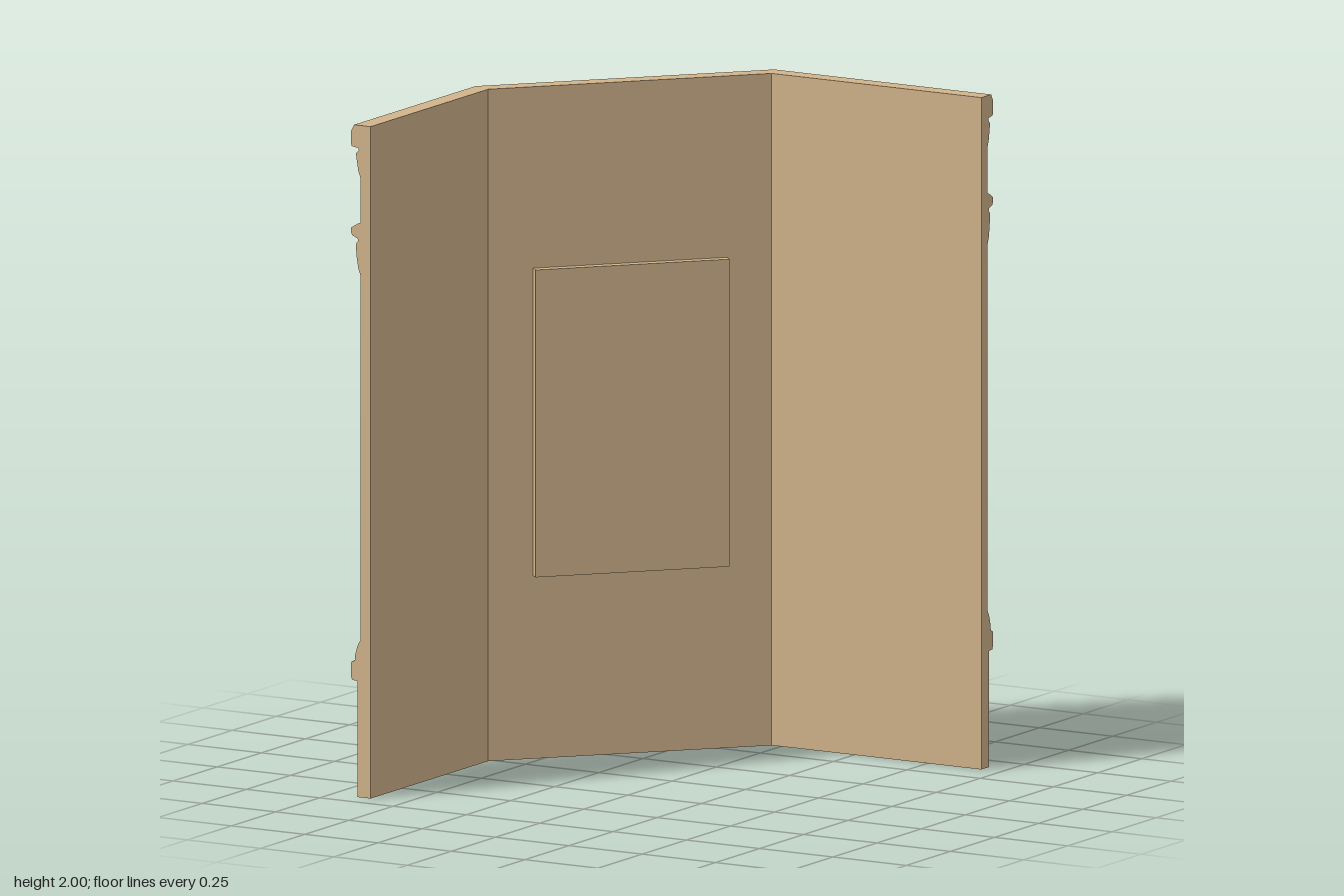
import * as THREE from 'three';

const wallMat = new THREE.MeshStandardMaterial({ color: 0xd2b48c });
const sashMat = new THREE.MeshStandardMaterial({ color: 0xd6cebc });
const glassMat = new THREE.MeshStandardMaterial({ color: 0x0a0c0c });

// inner face of the wall in plan (x, z)
const V = (x, z) => new THREE.Vector2(x, z);
const PLAN = [V(-0.617, 0.683), V(-0.617, 0.017), V(-0.032, -0.617), V(0.683, -0.617)];
const WIN = { w: 0.59, h: 0.915, y: 1.0025, sideBorder: 0.045, railBorder: 0.075 };

// faceted surface through closed rows of points
function skin(rows, tris = []) {
  const pos = [];
  const put = (...pts) => pts.forEach((p) => pos.push(p.x, p.y, p.z));
  for (let i = 0; i + 1 < rows.length; i++) {
    const a = rows[i], b = rows[i + 1], n = a.length;
    for (let j = 0; j < n; j++) {
      const k = (j + 1) % n;
      put(a[j], a[k], b[k], a[j], b[k], b[j]);
    }
  }
  const first = rows[0], last = rows[rows.length - 1];
  for (const [a, b, c] of tris) put(first[a], first[c], first[b], last[a], last[b], last[c]);
  const g = new THREE.BufferGeometry();
  g.setAttribute('position', new THREE.Float32BufferAttribute(pos, 3));
  g.computeVertexNormals();
  return g;
}

const outward = (a, b) => V(b.y - a.y, a.x - b.x).normalize();

// sweeps a closed profile of [offset, height] along a plan path with mitred corners
function sweep(profile, path) {
  const rows = path.map((p, i) => {
    const n1 = outward(path[Math.max(i - 1, 0)], path[Math.max(i, 1)]);
    const e = Math.min(i, path.length - 2);
    const n2 = outward(path[e], path[e + 1]);
    const m = n1.clone().add(n2).divideScalar(1 + n1.dot(n2));
    return profile.map(([o, y]) => new THREE.Vector3(p.x + m.x * o, y, p.y + m.y * o));
  });
  const tris = THREE.ShapeUtils.triangulateShape(profile.map(([o, y]) => V(o, y)), []);
  return skin(rows, tris);
}

function add(parent, name, geo, mat = wallMat) {
  const m = new THREE.Mesh(geo, mat);
  m.name = name;
  parent.add(m);
  return m;
}

function box(parent, name, w, h, d, x, y, z, mat) {
  add(parent, name, new THREE.BoxGeometry(w, h, d), mat).position.set(x, y, z);
}

function createWindow() {
  const g = new THREE.Group();
  g.name = 'window';
  const { w, h, sideBorder, railBorder } = WIN;
  const ow = w - 2 * sideBorder, oh = h - 2 * railBorder;

  // backing panel that stands proud on the inside
  box(g, 'backingPanel', w, h, 0.031, 0, 0, -0.0135, wallMat);

  // moulded casing: [inset fraction, depth] steps from outside to opening
  const steps = [[0, 0], [0, 0.052], [0.12, 0.06], [0.4, 0.06], [0.5, 0.052], [1, 0.042], [1, 0]];
  add(g, 'casing', skin(steps.map(([t, z]) => {
    const x = w / 2 - t * sideBorder, y = h / 2 - t * railBorder;
    return [[x, -y], [x, y], [-x, y], [-x, -y]].map(([px, py]) => new THREE.Vector3(px, py, z));
  })));

  box(g, 'glass', ow, oh, 0.004, 0, 0, 0.004, glassMat);

  // sash: stiles, mullion, rails and glazing bars
  for (const s of [-1, 1]) {
    box(g, 'stile', 0.03, oh, 0.026, s * (ow / 2 - 0.015), 0, 0.015, sashMat);
    box(g, 'endRail', ow, 0.036, 0.026, 0, s * (oh / 2 - 0.018), 0.015, sashMat);
    box(g, 'glazingBar', ow, 0.028, 0.016, 0, s * 0.195, 0.012, sashMat);
  }
  box(g, 'middleRail', ow, 0.055, 0.022, 0, 0, 0.014, sashMat);
  box(g, 'mullion', 0.055, oh, 0.028, 0, 0, 0.018, sashMat);
  box(g, 'mullionBead', 0.026, oh, 0.008, 0, 0, 0.034, sashMat);
  return g;
}

export function createModel() {
  const model = new THREE.Group();
  model.name = 'baySection';
  const [p0, p1, p2, p3] = PLAN;
  const centre = p1.clone().lerp(p2, 0.5);
  const dir = p2.clone().sub(p1).normalize();
  const w0 = centre.clone().addScaledVector(dir, -WIN.w / 2);
  const w1 = centre.clone().addScaledVector(dir, WIN.w / 2);
  const sill = WIN.y - WIN.h / 2, head = WIN.y + WIN.h / 2;

  // wall below the window with the dado moulding
  add(model, 'lowerWall', sweep([
    [0, 0], [0.035, 0], [0.035, 0.345], [0.062, 0.347], [0.067, 0.358], [0.067, 0.395], [0.064, 0.402],
    [0.054, 0.404], [0.053, 0.42], [0.046, 0.446], [0.038, 0.463], [0.035, 0.466], [0.035, sill], [0, sill],
  ], PLAN));

  // wall on both sides of the window
  const middle = [[0, sill], [0.035, sill], [0.035, head], [0, head]];
  add(model, 'middleWallRight', sweep(middle, [p0, p1, w0]));
  add(model, 'middleWallBack', sweep(middle, [w1, p2, p3]));

  // wall above the window with the frieze band and cornice
  add(model, 'upperWall', sweep([
    [0, head], [0.035, head], [0.035, 1.555], [0.042, 1.575], [0.047, 1.605], [0.05, 1.64], [0.048, 1.65],
    [0.042, 1.655], [0.044, 1.663], [0.062, 1.67], [0.067, 1.68], [0.066, 1.693], [0.045, 1.706], [0.035, 1.71],
    [0.035, 1.845], [0.042, 1.865], [0.046, 1.89], [0.05, 1.915], [0.04, 1.925], [0.042, 1.932],
    [0.064, 1.936], [0.066, 1.942], [0.066, 1.982], [0.056, 2], [0, 2],
  ], PLAN));

  // plinth in three lengths, with a narrow joint on each side wall
  const plinth = [[0.03, 0], [0.045, 0], [0.045, 0.35], [0.03, 0.35]];
  const gap = 0.004, jz = 0.325, jx = 0.315;
  add(model, 'plinthRight', sweep(plinth, [p0, V(p0.x, jz + gap)]));
  add(model, 'plinthCorner', sweep(plinth, [V(p0.x, jz - gap), p1, p2, V(jx - gap, p3.y)]));
  add(model, 'plinthBack', sweep(plinth, [V(jx + gap, p3.y), p3]));

  // window set in the angled wall, facing outward
  const win = createWindow();
  const n = outward(p1, p2);
  win.position.set(centre.x, WIN.y, centre.y);
  win.rotation.y = Math.atan2(n.x, n.y);
  model.add(win);
  return model;
}
